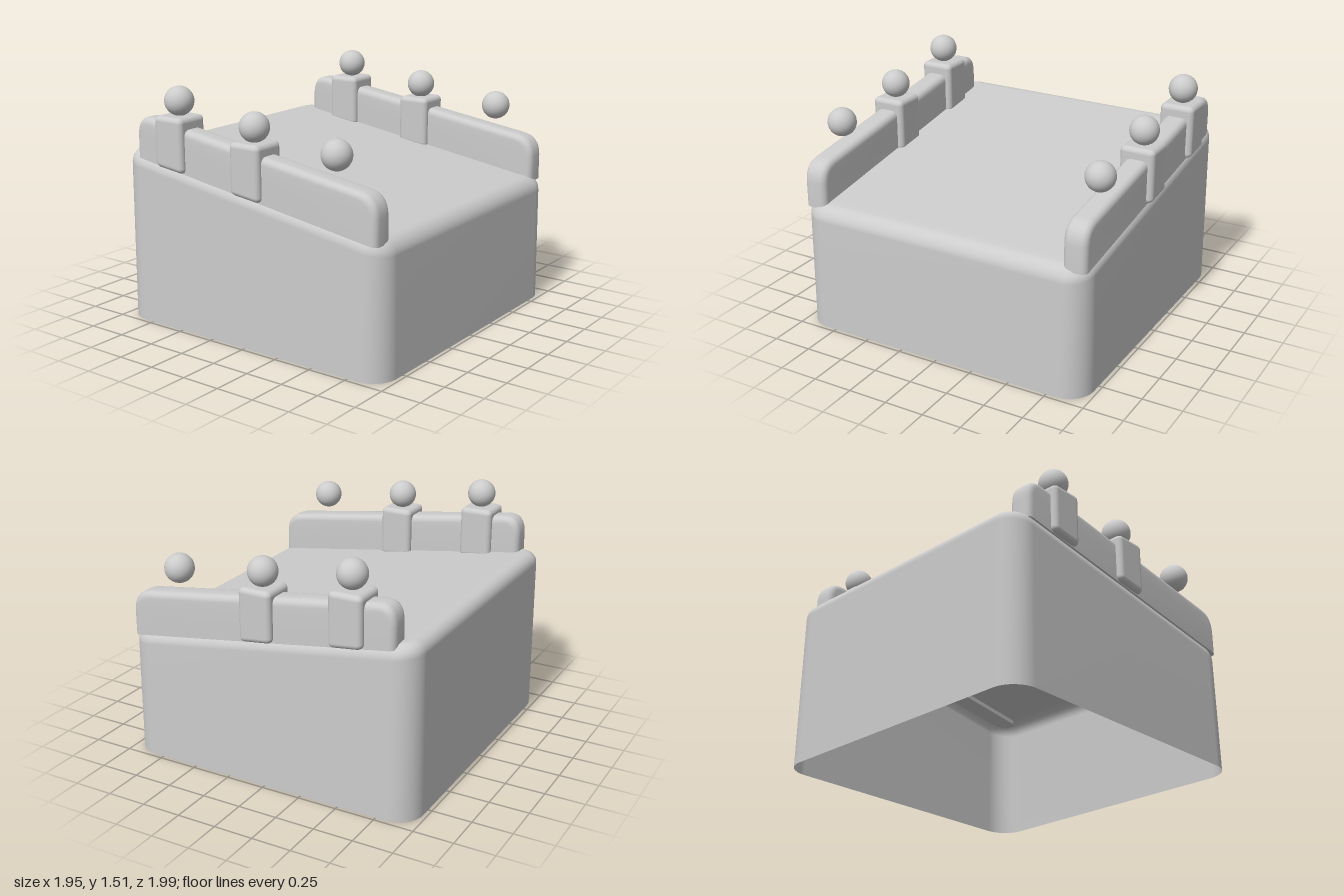
import * as THREE from 'three';
import { toCreasedNormals } from 'three/addons/utils/BufferGeometryUtils.js';
import { RoundedBoxGeometry } from 'three/addons/geometries/RoundedBoxGeometry.js';

const grey = new THREE.MeshStandardMaterial({ color: 0xcccccc });
const greyBoth = new THREE.MeshStandardMaterial({ color: 0xcccccc, side: THREE.DoubleSide });

const SLOPE = -0.148;
const deckY = (x) => 0.953 + SLOPE * x;
const railBottomY = (x) => 0.925 + SLOPE * x;
const SIDE_Z = 0.885;

// Rounded-square outline, seen from above
function roundedSquare(half, radius, steps = 8) {
  const points = [];
  for (let corner = 0; corner < 4; corner++) {
    const mid = Math.PI / 4 + corner * Math.PI / 2;
    const cx = Math.sign(Math.cos(mid)) * (half - radius);
    const cz = Math.sign(Math.sin(mid)) * (half - radius);
    for (let i = 0; i <= steps; i++) {
      const a = (corner + i / steps) * Math.PI / 2;
      points.push([cx + radius * Math.cos(a), cz + radius * Math.sin(a)]);
    }
  }
  return points;
}

// Hollow base, open below, with a sloping top and soft edges
function baseGeometry() {
  const half = 0.976, radius = 0.16, bevel = 0.085, steps = 7;
  const rings = [{ inset: 0, y: () => 0 }, { inset: 0.004, y: (x) => deckY(x) * 0.5 }];
  for (let i = 0; i <= steps; i++) {
    const a = (i / steps) * Math.PI / 2;
    const drop = bevel * (1 - Math.sin(a));
    rings.push({ inset: 0.008 + bevel * (1 - Math.cos(a)), y: (x) => deckY(x) - drop });
  }
  rings.push({ inset: 0.13, y: deckY });

  const positions = [], index = [];
  let count = 0;
  for (const { inset, y } of rings) {
    const outline = roundedSquare(half - inset, radius - inset);
    count = outline.length;
    for (const [x, z] of outline) positions.push(x, y(x), z);
  }
  for (let r = 0; r < rings.length - 1; r++) {
    for (let i = 0; i < count; i++) {
      const a = r * count + i, b = r * count + (i + 1) % count;
      index.push(a, a + count, b, b, a + count, b + count);
    }
  }
  // Deck, closed with a fan
  const last = (rings.length - 1) * count;
  positions.push(0, deckY(0), 0);
  for (let i = 0; i < count; i++) index.push(rings.length * count, last + (i + 1) % count, last + i);

  const geometry = new THREE.BufferGeometry();
  geometry.setAttribute('position', new THREE.Float32BufferAttribute(positions, 3));
  geometry.setIndex(index);
  geometry.computeVertexNormals();
  return geometry;
}

// Sloping side rail with rounded upper edges and a flat underside
function railGeometry() {
  const left = -0.845, right = 0.925, depth = 0.15, bevel = 0.04, extra = 0.06;
  const topY = (x) => 1.2 - 0.142 * x;
  const shape = new THREE.Shape();
  shape.moveTo(left, railBottomY(left) - extra);
  shape.lineTo(right, railBottomY(right) - extra);
  shape.lineTo(right, 0.95);
  shape.quadraticCurveTo(0.92, 1.068, 0.81, topY(0.81));
  shape.lineTo(-0.72, topY(-0.72));
  shape.quadraticCurveTo(left, 1.32, left, 1.18);
  shape.closePath();
  const geometry = new THREE.ExtrudeGeometry(shape, {
    depth: depth - 2 * bevel, curveSegments: 8,
    bevelSize: bevel, bevelThickness: bevel, bevelOffset: -bevel, bevelSegments: 5,
  });
  geometry.translate(0, 0, bevel - depth / 2);
  // Trim the underside along the slope
  const p = geometry.attributes.position;
  for (let i = 0; i < p.count; i++) p.setY(i, Math.max(p.getY(i), railBottomY(p.getX(i))));
  return toCreasedNormals(geometry, 0.7);
}

// Post block whose underside follows the slope
function postGeometry() {
  const geometry = new RoundedBoxGeometry(0.215, 0.325, 0.222, 4, 0.032);
  const p = geometry.attributes.position;
  for (let i = 0; i < p.count; i++) {
    if (p.getY(i) < 0) p.setY(i, p.getY(i) + SLOPE * 0.8 * p.getX(i));
  }
  return geometry;
}

export function createModel() {
  const model = new THREE.Group();
  model.name = 'slopedBlockWithRails';

  const add = (parent, name, geometry, x = 0, y = 0, material = grey) => {
    const mesh = new THREE.Mesh(geometry, material);
    mesh.name = name;
    mesh.position.set(x, y, 0);
    parent.add(mesh);
  };

  add(model, 'base', baseGeometry(), 0, 0, greyBoth);

  const rail = railGeometry();
  const post = postGeometry();
  const ball = new THREE.SphereGeometry(0.09, 32, 20);

  // The same rail assembly on the front and back edges
  for (const [name, z] of [['frontRail', SIDE_Z], ['backRail', -SIDE_Z]]) {
    const side = new THREE.Group();
    side.name = name;
    side.position.z = z;
    add(side, 'rail', rail);
    for (const [x, y] of [[-0.552, 1.172], [0.032, 1.087]]) add(side, 'post', post, x, y);
    for (const [x, y] of [[-0.547, 1.42], [0.032, 1.332], [0.615, 1.25]]) add(side, 'ball', ball, x, y);
    model.add(side);
  }
  return model;
}
